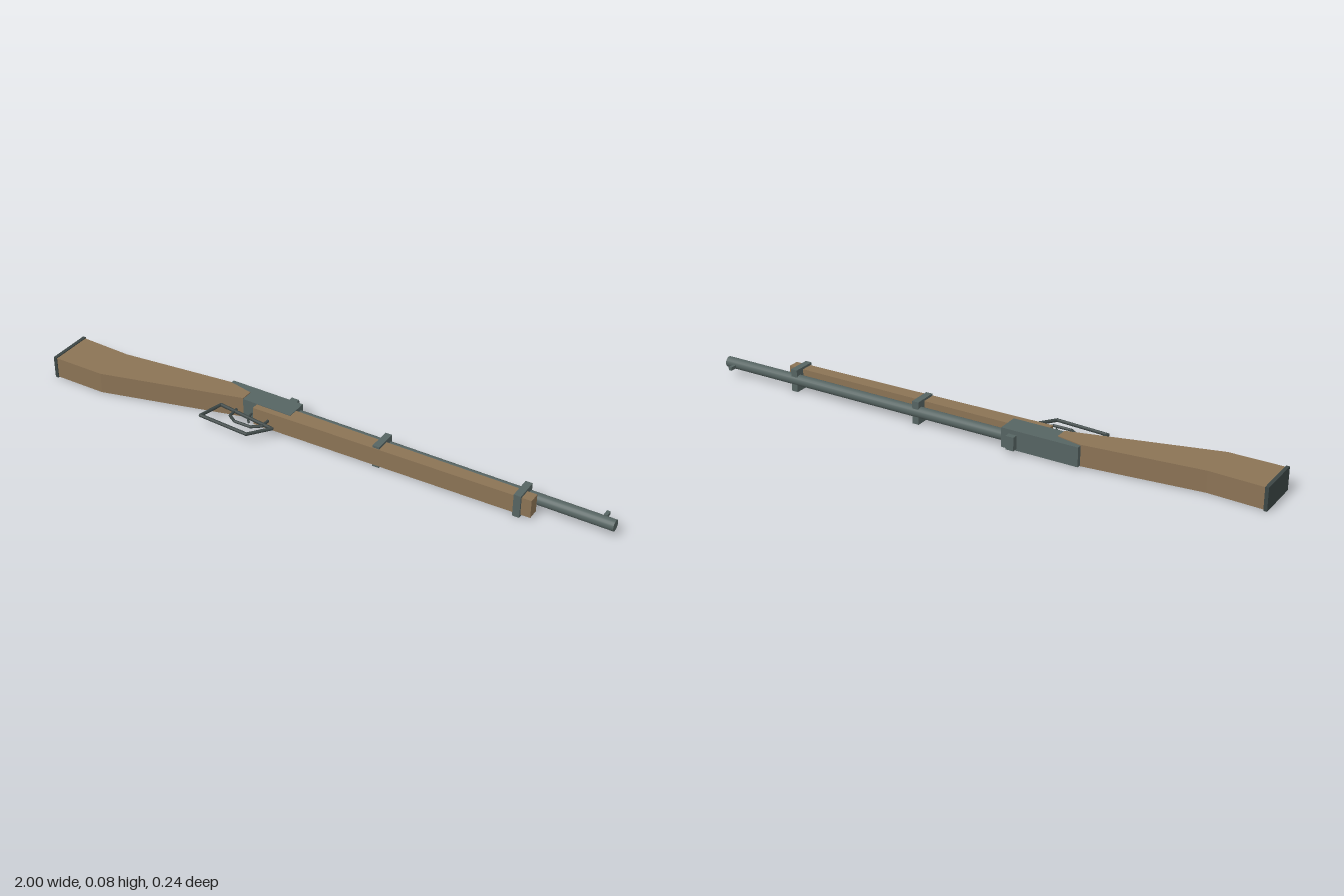
import * as THREE from 'three';

// The model lies on its side: barrel along +x, sights toward -z, thickness along y.
const MID = 0.04;

export function createModel() {
  const group = new THREE.Group();
  const mat = (name, color) => {
    const m = new THREE.MeshStandardMaterial({ color });
    m.name = name;
    return m;
  };
  const wood = mat('wood', 0x8b7355);
  const steel = mat('steel', 0x566462);
  const darkSteel = mat('dark steel', 0x3c4645);

  const add = (name, geometry, material, parent = group) => {
    const mesh = new THREE.Mesh(geometry, material);
    mesh.name = name;
    parent.add(mesh);
    return mesh;
  };

  // Side outline in (x, z), extruded through the thickness y0..y1
  const slab = (name, points, y0, y1, material) => {
    const shape = new THREE.Shape(points.map(([x, z]) => new THREE.Vector2(x, -z)));
    const geo = new THREE.ExtrudeGeometry(shape, { depth: y1 - y0, bevelEnabled: false });
    geo.rotateX(-Math.PI / 2);
    geo.translate(0, y0, 0);
    return add(name, geo, material);
  };

  const box = (name, x0, x1, y0, y1, z0, z1, material) => {
    const mesh = add(name, new THREE.BoxGeometry(x1 - x0, y1 - y0, z1 - z0), material);
    mesh.position.set((x0 + x1) / 2, (y0 + y1) / 2, (z0 + z1) / 2);
    return mesh;
  };

  // Bent rod made of straight lengths with rounded joints
  const rod = (name, points, radius, material) => {
    const part = new THREE.Group();
    part.name = name;
    group.add(part);
    const path = points.map(([x, z]) => new THREE.Vector3(x, MID, z));
    path.forEach((p, i) => {
      add(name + 'Joint', new THREE.SphereGeometry(radius, 8, 6), material, part).position.copy(p);
      if (i === 0) return;
      const dir = p.clone().sub(path[i - 1]);
      const bar = add(name + 'Bar', new THREE.CylinderGeometry(radius, radius, dir.length(), 8), material, part);
      bar.position.copy(p).add(path[i - 1]).multiplyScalar(0.5);
      bar.quaternion.setFromUnitVectors(new THREE.Vector3(0, 1, 0), dir.normalize());
    });
  };

  // Woodwork
  slab('buttStock', [
    [-0.99, -0.038], [-0.8, -0.03], [-0.395, -0.074], [-0.305, -0.055],
    [-0.305, -0.013], [-0.8, 0.117], [-0.99, 0.117],
  ], 0.003, 0.077, wood);
  slab('foreStock', [
    [-0.25, -0.048], [0.75, -0.048], [0.75, -0.008], [-0.25, 0.012],
  ], 0.008, 0.072, wood);
  box('buttPlate', -1, -0.988, 0, 0.08, -0.041, 0.12, darkSteel);

  // Receiver, stepped over the wrist of the stock
  slab('receiver', [
    [-0.395, -0.09], [-0.12, -0.09], [-0.12, -0.012], [-0.305, -0.012],
    [-0.305, -0.055], [-0.395, -0.074],
  ], 0.006, 0.074, steel);

  // Barrel
  const barrel = add('barrel', new THREE.CylinderGeometry(0.019, 0.019, 1.14, 20), steel);
  barrel.rotation.z = Math.PI / 2;
  barrel.position.set(0.43, MID, -0.07);

  // Barrel bands
  for (const x of [0.21, 0.705]) box('barrelBand', x - 0.012, x + 0.012, 0, 0.08, -0.083, 0, steel);

  // Sights
  box('rearSight', -0.181, -0.152, 0.017, 0.064, -0.118, -0.098, steel);
  box('frontSight', 0.95, 0.962, 0.034, 0.046, -0.12, -0.096, steel);

  // Lever loop, trigger guard and trigger
  rod('leverLoop', [
    [-0.378, 0.012], [-0.4, 0.1], [-0.21, 0.112], [-0.157, 0.042], [-0.378, 0.012],
  ], 0.006, darkSteel);
  rod('triggerGuard', [
    [-0.318, 0.01], [-0.316, 0.05], [-0.285, 0.07], [-0.222, 0.07], [-0.192, 0.046], [-0.192, 0.005],
  ], 0.005, darkSteel);
  rod('trigger', [[-0.262, 0.005], [-0.256, 0.034], [-0.242, 0.05]], 0.004, darkSteel);

  return group;
}
